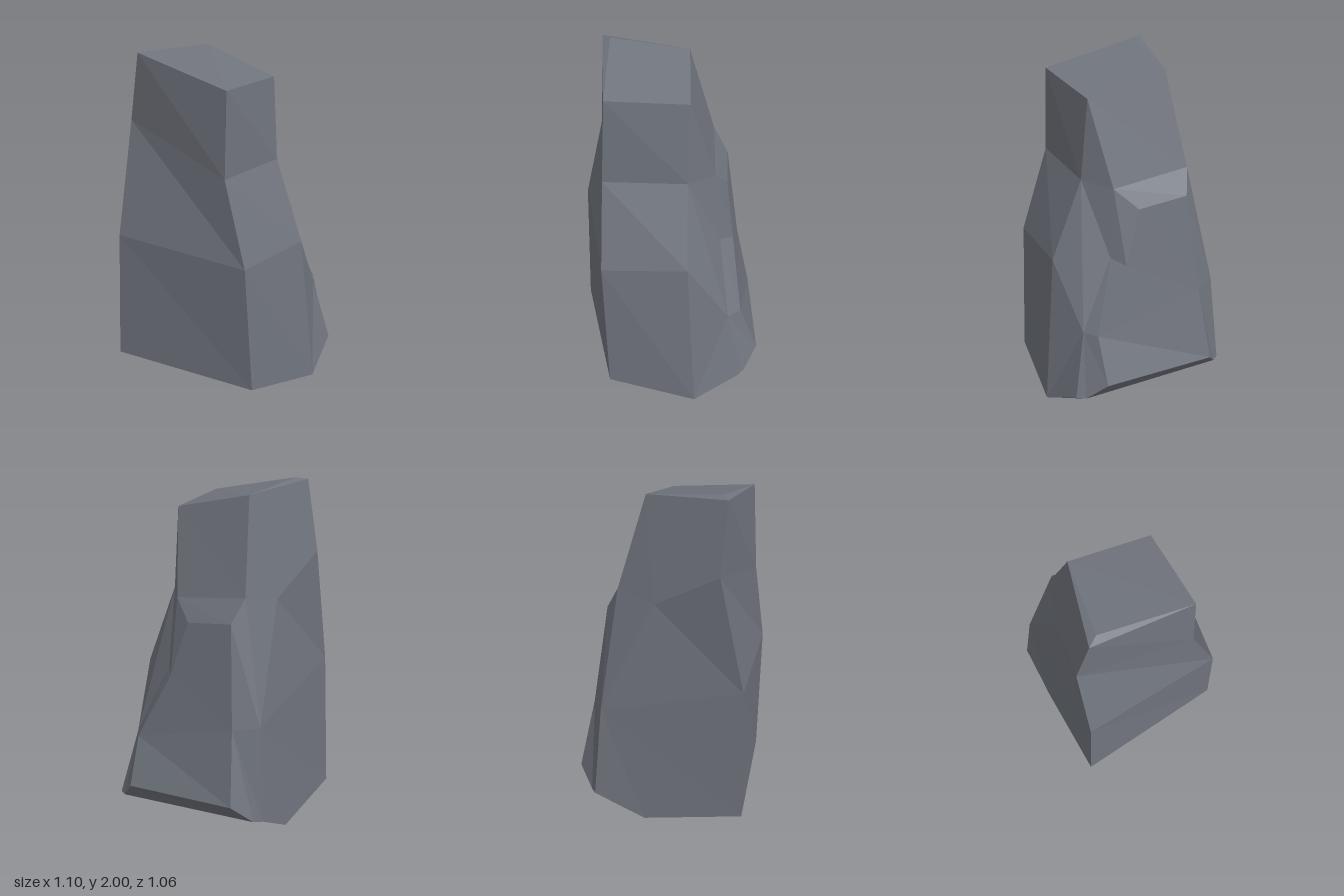
import * as THREE from 'three';

// Ridges of the boulder, each listed from the top down: [x, y, z]
const ridges = {
  // front left corner
  a: [[-0.335, 1.89, 0.31], [-0.355, 1.38, 0.315], [-0.355, 0.88, 0.47], [-0.32, 0.1, 0.5]],
  // front right corner
  b: [[0.135, 1.845, 0.23], [0.125, 1.36, 0.27], [0.14, 0.89, 0.457], [0.19, 0, 0.53]],
  // inner line of the groove
  c: [[0.275, 1.34, 0.13], [0.312, 0.93, 0.165], [0.375, 0.51, 0.36], [0.45, 0.13, 0.435]],
  // outer line of the groove
  d: [[0.34, 1.22, 0], [0.385, 0.9, 0.095], [0.447, 0.51, 0.295], [0.55, 0.23, 0.275], [0.48, 0.13, 0.385]],
  // chamfer at the back corner
  e: [[0.33, 1.25, -0.3], [0.4, 0.66, -0.36], [0.48, 0.23, -0.41], [0.37, 0.13, -0.49]],
  // back corner, running on to the underside
  f: [[0.1, 1.945, -0.255], [0.245, 1.39, -0.337], [0.3, 0.67, -0.485], [0.33, 0.13, -0.53], [0.03, 0, -0.48]],
  // other back corner
  g: [[-0.41, 1.99, -0.31], [-0.4, 1.57, -0.39], [-0.54, 0.89, -0.37], [-0.55, 0.1, -0.39]],
  // bump in the back, and chipped top edge
  q: [[0, 1.35, -0.383]],
  t: [[-0.36, 2, -0.255]],
};

// Facets as corners (ridge letter + index), anticlockwise from outside
const facets = [
  'a0 b0 f0 t0, a0 t0 g0, t0 f0 g0',                                  // top
  'a0 a1 b1 b0, a1 a2 b2 b1, a2 a3 b3 b2',                            // front
  'b0 b1 c0, b1 c1 c0, b1 b2 c2, b1 c2 c1, b2 b3 c2, b3 c3 c2',       // front corner
  'c0 c1 d1 d0, c1 c2 d2 d1, c2 c3 d4 d3 d2',                         // groove
  'b0 c0 f1 f0, c0 d0 e0 f1',                                         // upper side and ledge
  'd0 d1 e1 e0, d1 d2 e1, d2 d3 e2 e1, d3 d4 e3 e2',                  // broad side
  'e0 e1 f2 f1, e1 e2 e3 f3 f2',                                      // back chamfer
  'f0 f1 q0, f0 q0 g1, f0 g1 g0, f1 f2 q0, q0 f2 g2, q0 g2 g1, f2 f3 f4 g3 g2', // back
  'g0 g1 a1 a0, g1 a2 a1, g1 g2 a2, g2 g3 a3 a2',                     // flat side
  'd4 c3 b3 f4 f3 e3, g3 f4 b3 a3',                                   // underside
];

// Fans each facet into triangles with unshared corners for hard edges
function facetGeometry() {
  const positions = [];
  for (const facet of facets.join(', ').split(', ')) {
    const corners = facet.split(' ').map((name) => ridges[name[0]][Number(name[1])]);
    for (let i = 1; i < corners.length - 1; i++) {
      positions.push(...corners[0], ...corners[i], ...corners[i + 1]);
    }
  }
  const geometry = new THREE.BufferGeometry();
  geometry.setAttribute('position', new THREE.Float32BufferAttribute(positions, 3));
  geometry.computeVertexNormals();
  return geometry;
}

export function createModel() {
  const stone = new THREE.MeshStandardMaterial({ color: 0x70747d, flatShading: true });
  stone.name = 'grey stone';

  const rock = new THREE.Mesh(facetGeometry(), stone);
  rock.name = 'standingRock';

  const group = new THREE.Group();
  group.name = 'rockPillar';
  group.add(rock);
  return group;
}
